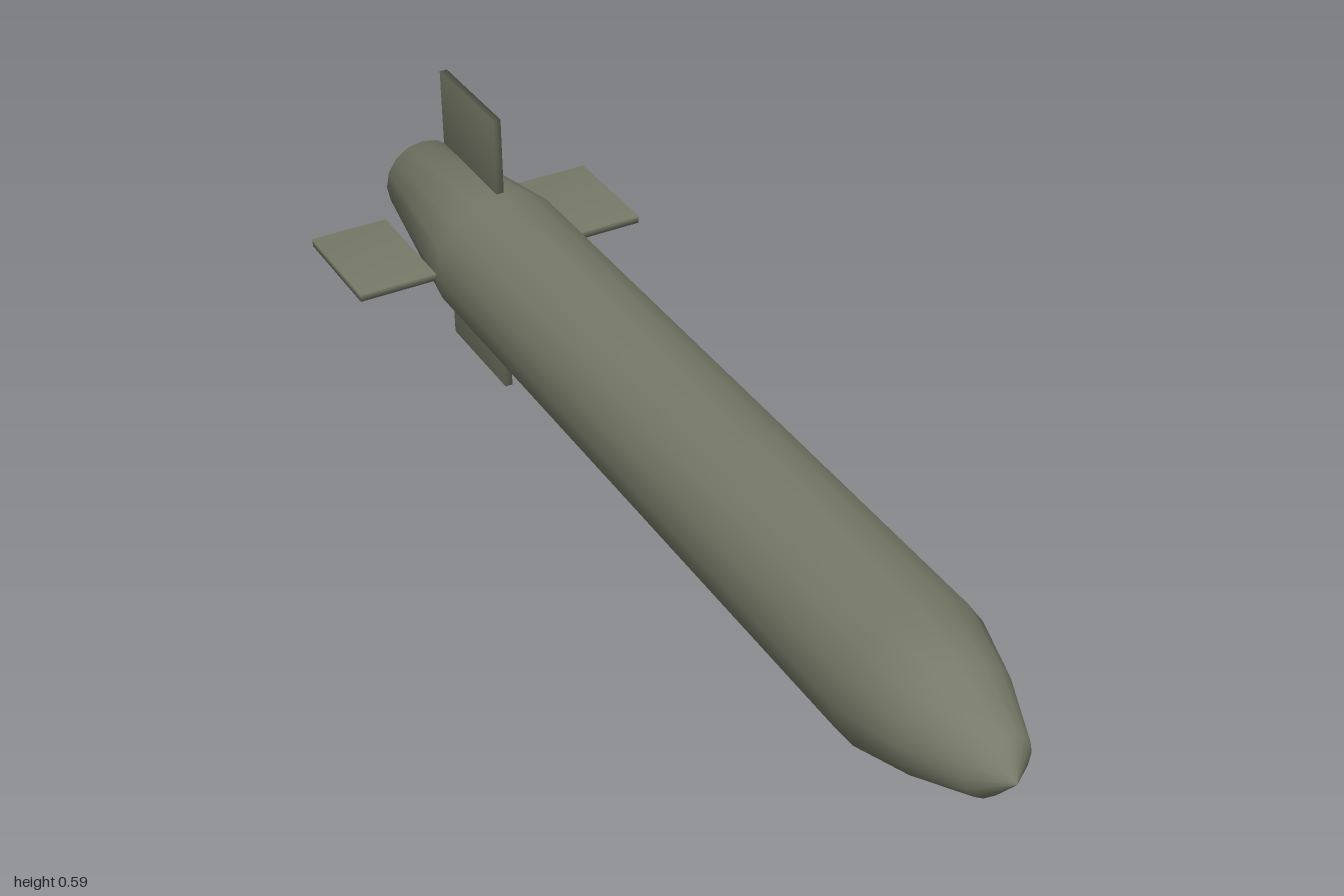
import * as THREE from 'three';
import { mergeVertices } from 'three/addons/utils/BufferGeometryUtils.js';

const AXIS_Y = 0.293;

export function createModel() {
  const model = new THREE.Group();
  const paint = new THREE.MeshStandardMaterial({ color: 0x777a68 });

  // Body: 16-sided turned hull, closed flat tail to pointed nose
  const profile = [
    [0, -1], [0.082, -1], [0.138, -0.65], [0.138, 0.73],
    [0.105, 0.845], [0.058, 0.955], [0, 1],
  ].map(([r, z]) => new THREE.Vector2(r, z));
  const hull = new THREE.LatheGeometry(profile, 16);
  hull.rotateX(Math.PI / 2);
  const body = new THREE.Mesh(hull, paint);
  body.name = 'body';
  body.position.y = AXIS_Y;
  model.add(body);

  // Tail fins: thin plates with smooth normals, standing just off the hull
  let plate = new THREE.BoxGeometry(0.153, 0.015, 0.23);
  plate.deleteAttribute('normal');
  plate.deleteAttribute('uv');
  plate = mergeVertices(plate);
  plate.computeVertexNormals();
  plate.translate(0.2165, 0, -0.76);

  const fins = new THREE.Group();
  fins.name = 'tailFins';
  fins.position.y = AXIS_Y;
  ['leftFin', 'topFin', 'rightFin', 'bottomFin'].forEach((name, i) => {
    const fin = new THREE.Mesh(plate, paint);
    fin.name = name;
    fin.rotation.z = i * Math.PI / 2;
    fins.add(fin);
  });
  model.add(fins);

  return model;
}
